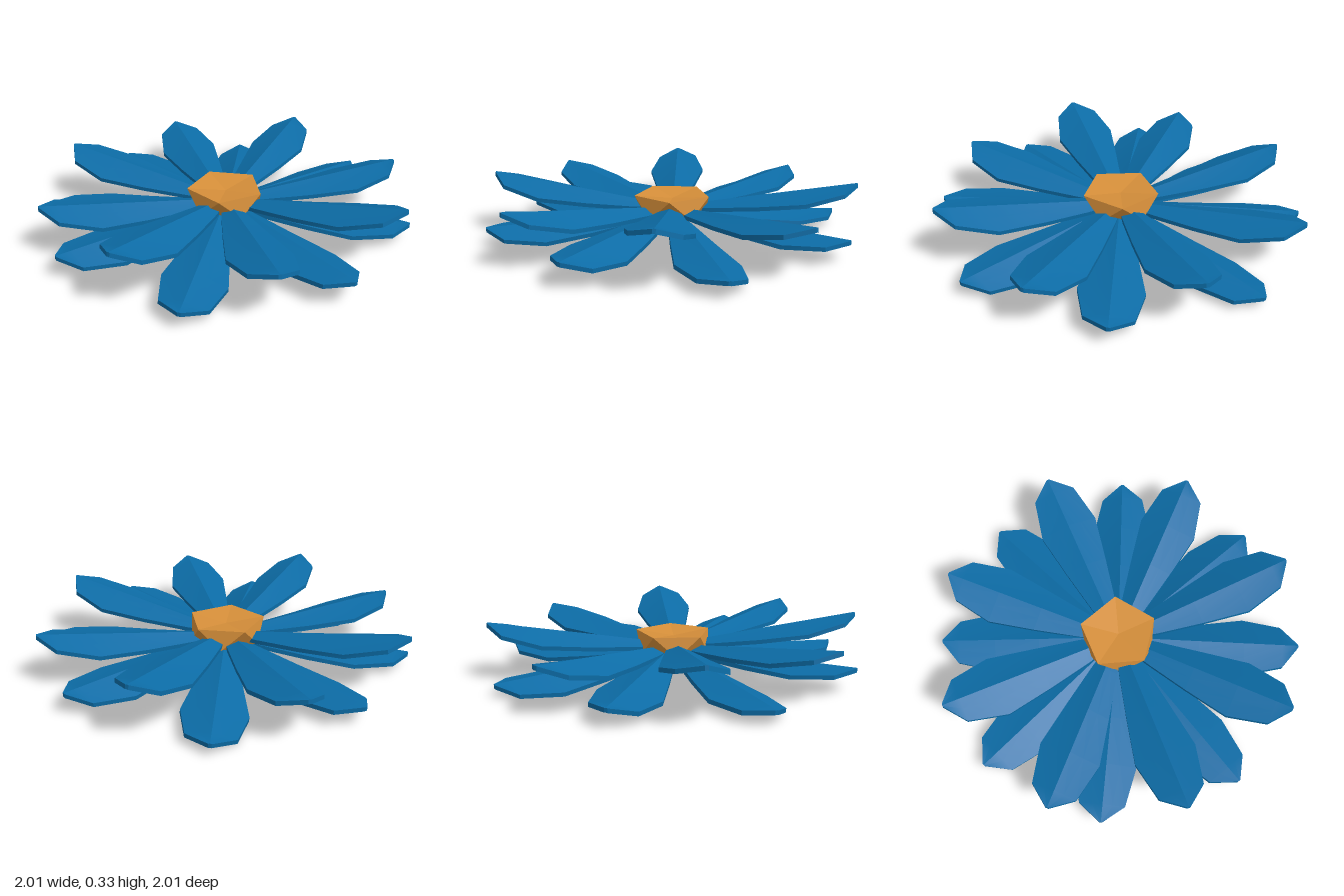
import * as THREE from 'three';
import { toCreasedNormals } from 'three/addons/utils/BufferGeometryUtils.js';

// Skin a row of equal-length closed loops and cap both ends.
function loft(loops, crease) {
  const n = loops[0].length, index = [];
  for (let s = 0; s < loops.length - 1; s++) {
    for (let i = 0; i < n; i++) {
      const a = s * n + i, b = s * n + (i + 1) % n;
      index.push(a, b, a + n, b, b + n, a + n);
    }
  }
  const last = (loops.length - 1) * n;
  for (let i = 1; i < n - 1; i++) {
    index.push(0, i + 1, i, last, last + i, last + i + 1);
  }
  const g = new THREE.BufferGeometry();
  g.setAttribute('position', new THREE.Float32BufferAttribute(loops.flat(2), 3));
  g.setIndex(index);
  return toCreasedNormals(g, crease);
}

// One petal with its ridge along +x and both sides folded down.
function petalGeometry() {
  const stations = [ // distance from the middle, half width, droop of the sides
    [0.05, 0.03, 0.012], [0.2, 0.07, 0.026], [0.45, 0.12, 0.042],
    [0.7, 0.165, 0.05], [0.91, 0.12, 0.03], [1.0, 0.008, 0.002],
  ];
  const t = 0.022;
  return loft(stations.map(([x, w, d]) => [
    [x, -d, -w], [x, -d * 0.5, -w * 0.45], [x, 0, 0], [x, -d * 0.5, w * 0.45], [x, -d, w],
    [x, -d - t, w], [x, -d * 0.3 - t, 0], [x, -d - t, -w],
  ]), 0.5);
}

// Faceted heart: two twisted pentagon rings, pointed below and dished on top.
function heartGeometry() {
  const rings = [ // radius, height, twist
    [0.002, 0.075, 0], [0.19, 0.13, Math.PI / 5],
    [0.212, 0.24, Math.PI * 2 / 5], [0.002, 0.215, Math.PI * 2 / 5],
  ];
  return loft(rings.map(([r, y, twist]) => Array.from({ length: 5 }, (_, i) => {
    const a = twist + i * Math.PI * 2 / 5;
    return [r * Math.cos(a), y, -r * Math.sin(a)];
  })), 0.05);
}

export function createModel() {
  const model = new THREE.Group();
  model.name = 'flower';
  const blue = new THREE.MeshStandardMaterial({ color: 0x0c6ca6 });
  blue.name = 'petalBlue';
  const orange = new THREE.MeshStandardMaterial({ color: 0xd68f3a });
  orange.name = 'heartOrange';

  const heart = new THREE.Mesh(heartGeometry(), orange);
  heart.name = 'heart';
  model.add(heart);

  // Petal whorls: tip positions (x, z), ridge heights at base and tip, roll in degrees.
  const whorls = [
    { name: 'upperPetal', base: 0.172, tip: 0.325, roll: -3,
      tips: [[1, 0], [-0.02, -1], [-1, 0.04], [-0.05, 1]] },
    { name: 'middlePetal', base: 0.165, tip: 0.278, roll: -3,
      tips: [[0.73, -0.7], [-0.74, -0.685], [-0.69, 0.725], [0.66, 0.755]] },
    { name: 'lowPetal', base: 0.16, tip: 0.128, roll: -5,
      tips: [[0.9, 0.43], [-0.47, 0.88], [-0.91, -0.38], [0.41, -0.91]] },
    { name: 'lowestPetal', base: 0.152, tip: 0.09, roll: -6,
      tips: [[0.95, -0.32], [0.28, 0.965], [-0.93, 0.36], [-0.38, -0.925]] },
  ];
  const geometry = petalGeometry();
  for (const { name, base, tip, roll, tips } of whorls) {
    tips.forEach(([x, z], i) => {
      const petal = new THREE.Mesh(geometry, blue);
      petal.name = name + (i + 1);
      const reach = Math.hypot(x, z);
      const rise = tip + 0.013 * (x + z) - base;
      petal.rotation.set(THREE.MathUtils.degToRad(roll), Math.atan2(-z, x), Math.atan2(rise, reach), 'YZX');
      petal.scale.x = Math.hypot(reach, rise);
      petal.position.y = base;
      model.add(petal);
    });
  }
  return model;
}
